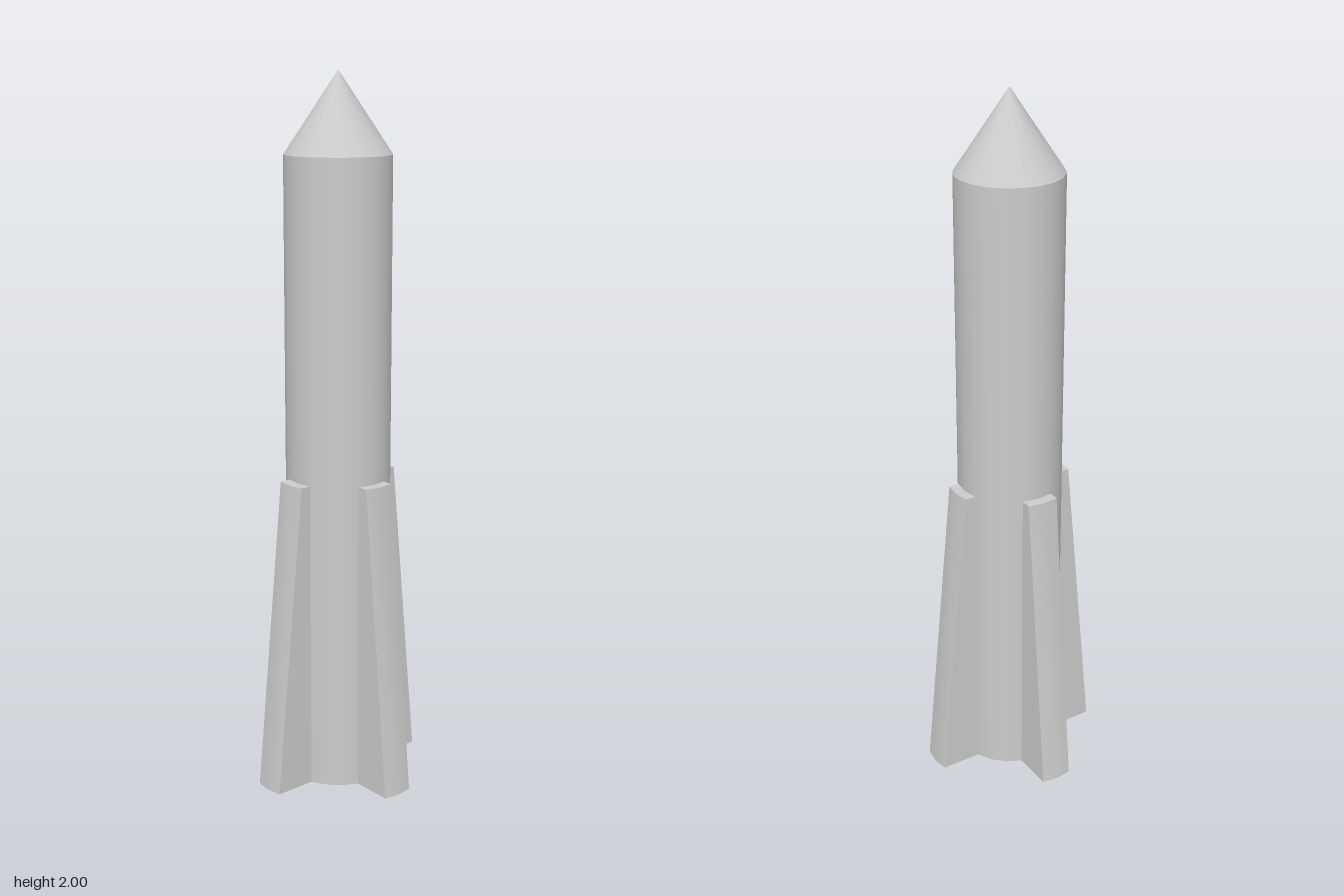
import * as THREE from 'three';
import { toCreasedNormals } from 'three/addons/utils/BufferGeometryUtils.js';

const R = 0.148, SIDES = 20;           // body radius and facets
const BODY_H = 1.78, TOTAL_H = 2;
const FIN_H = 0.89, FIN_TOP = 0.03, FIN_FLARE = 0.088;

// Fin: two body facets pushed outward, flaring toward the ground
function finGeometry() {
  const a = (Math.PI * 2) / SIDES;
  const w = R * Math.sin(a), d = R * Math.cos(a);
  const section = new THREE.Shape([
    [-w, d], [0, R], [w, d],
    [w, d + FIN_TOP], [0, R + FIN_TOP], [-w, d + FIN_TOP],
  ].map(([x, y]) => new THREE.Vector2(x, y)));
  const geo = new THREE.ExtrudeGeometry(section, { depth: FIN_H, bevelEnabled: false });
  geo.rotateX(-Math.PI / 2);           // outward is now -z, height is y
  const p = geo.attributes.position;
  for (let i = 0; i < p.count; i++) {
    if (p.getZ(i) < -(d + R + FIN_TOP) / 2) {
      p.setZ(i, p.getZ(i) - FIN_FLARE * (1 - p.getY(i) / FIN_H));
    }
  }
  return toCreasedNormals(geo, 0.6);
}

export function createModel() {
  const group = new THREE.Group();
  group.name = 'rocket';
  const material = new THREE.MeshStandardMaterial({ color: 0xcccccc });
  const add = (name, geometry) => {
    const mesh = new THREE.Mesh(geometry, material);
    mesh.name = name;
    group.add(mesh);
    return mesh;
  };

  // Cylindrical body
  add('body', new THREE.CylinderGeometry(R, R, BODY_H, SIDES)).position.y = BODY_H / 2;

  // Pointed nose
  const noseH = TOTAL_H - BODY_H;
  add('noseCone', new THREE.ConeGeometry(R, noseH, SIDES, 1, true)).position.y = BODY_H + noseH / 2;

  // Four fins around the base
  const fin = finGeometry();
  ['backFin', 'rightFin', 'frontFin', 'leftFin'].forEach((name, i) => {
    add(name, fin).rotation.y = (i * Math.PI) / 2;
  });

  return group;
}
